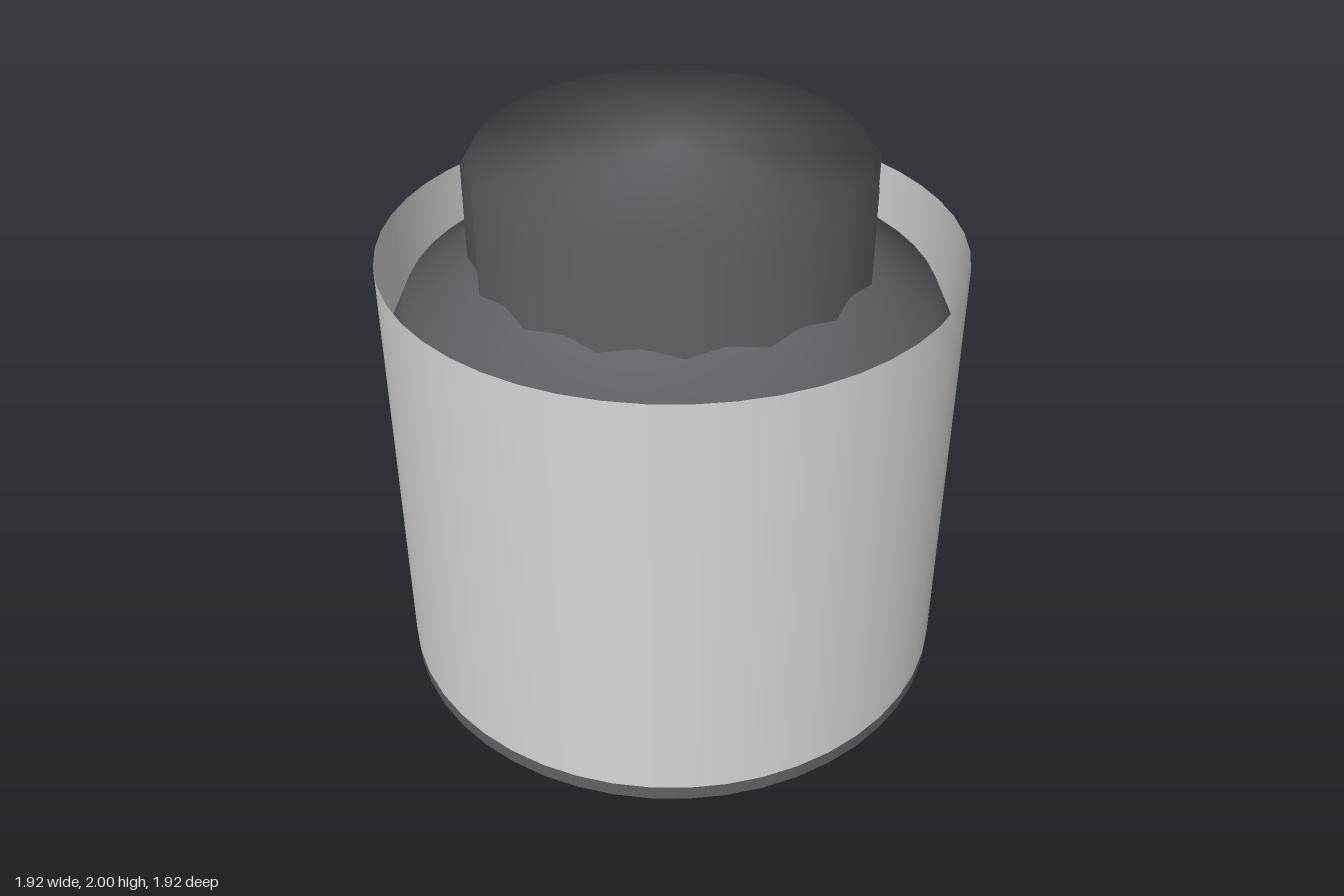
import * as THREE from 'three';

const SIDES = 48;

// Revolves rings of [radius, height, normal tilt in degrees from straight up].
function turned(rings, sides, flute = 1) {
  const geo = new THREE.LatheGeometry(rings.map(([r, y]) => new THREE.Vector2(r, y)), sides);
  const pos = geo.attributes.position;
  const nor = geo.attributes.normal;
  for (let i = 0; i <= sides; i++) {
    const a = (i / sides) * Math.PI * 2;
    rings.forEach(([r, y, tilt, fluted], j) => {
      const k = i * rings.length + j;
      const t = THREE.MathUtils.degToRad(tilt);
      const radius = fluted && i % 2 ? r * flute : r;
      pos.setXYZ(k, radius * Math.sin(a), y, radius * Math.cos(a));
      nor.setXYZ(k, Math.sin(t) * Math.sin(a), Math.cos(t), Math.sin(t) * Math.cos(a));
    });
  }
  return geo;
}

export function createModel() {
  const model = new THREE.Group();
  const darkGrey = new THREE.MeshStandardMaterial({ name: 'darkGrey', color: 0x606066 });
  const lightGrey = new THREE.MeshStandardMaterial({ name: 'lightGrey', color: 0xd6d6d6, side: THREE.DoubleSide });

  const add = (name, geometry, material) => {
    const mesh = new THREE.Mesh(geometry, material);
    mesh.name = name;
    model.add(mesh);
    return mesh;
  };

  // Body with a shallow rounded base and a domed shoulder
  add('body', turned([
    [0, 0, 180], [0.62, 0, 135], [0.87, 0.03, 113], [0.957, 0.095, 90],
    [0.957, 1.33, 90], [0.88, 1.5, 66], [0.64, 1.635, 42], [0, 1.7, 0],
  ], SIDES), darkGrey);

  // Open sleeve around the body
  const sleeve = add('sleeve', new THREE.CylinderGeometry(0.96, 0.96, 1.51, SIDES, 1, true), lightGrey);
  sleeve.position.y = 0.905;

  // Fluted knob with a chamfered flat top
  add('knob', turned([
    [0.665, 1.55, 90, true], [0.665, 1.95, 90, true], [0.625, 2, 88], [0, 2, 0],
  ], 32, 0.96), darkGrey);

  return model;
}
